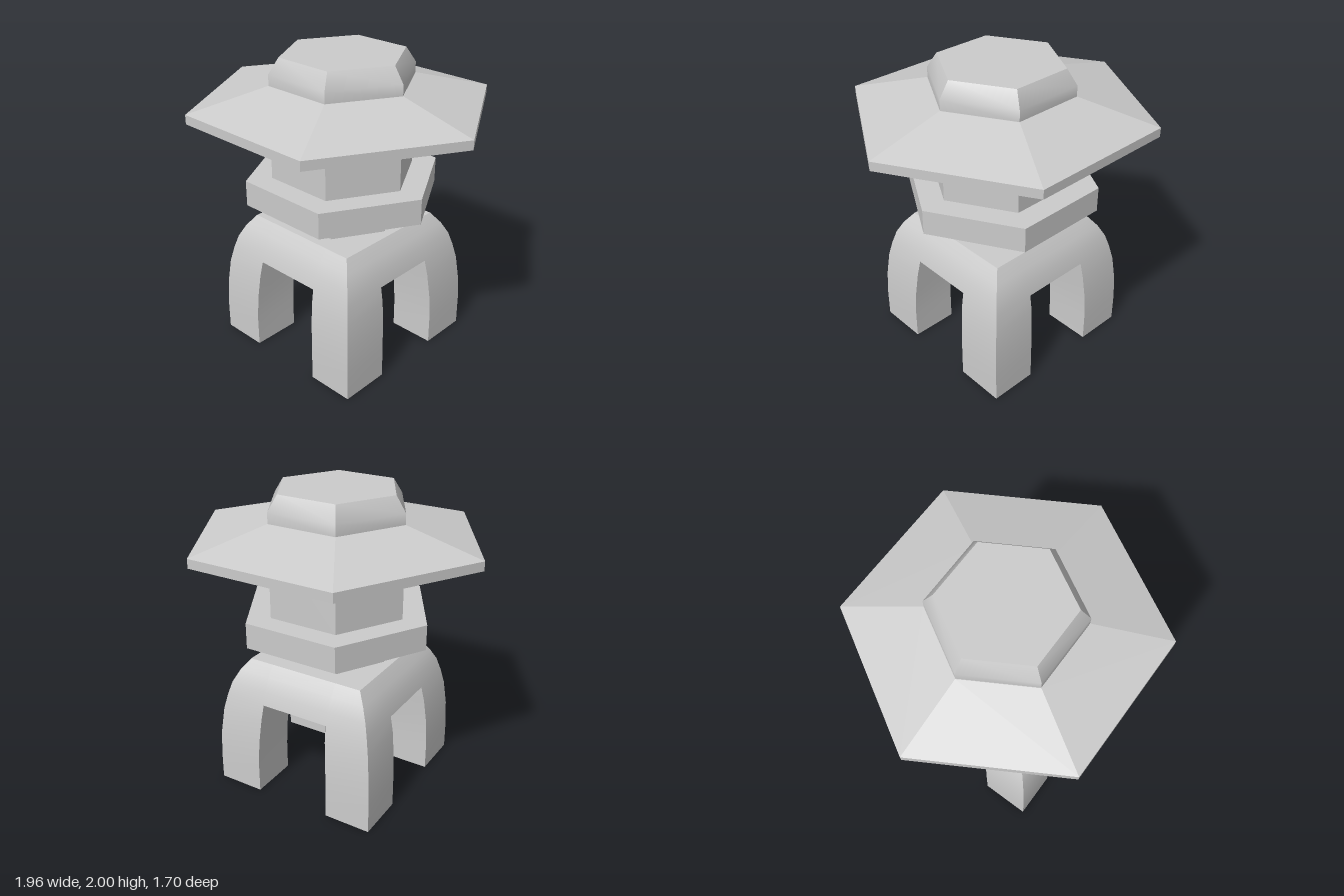
import * as THREE from 'three';
import { mergeGeometries, toCreasedNormals } from 'three/addons/utils/BufferGeometryUtils.js';

const material = new THREE.MeshStandardMaterial({ color: 0xcccccc });

function addMesh(group, name, geometry, crease) {
  const mesh = new THREE.Mesh(toCreasedNormals(geometry, crease), material);
  mesh.name = name;
  group.add(mesh);
}

// Six-sided turned part with corners on the x axis; profile runs bottom to top
function hexagon(profile) {
  const points = profile.map(([r, y]) => new THREE.Vector2(r, y));
  const geometry = new THREE.LatheGeometry(points, 6, Math.PI / 6);
  geometry.deleteAttribute('uv');
  return geometry;
}

const prism = (r, y0, y1) => hexagon([[0, y0], [r, y0], [r, y1], [0, y1]]);

// Skin over stacked rings of points (counterclockwise from above), with optional top cap
function loft(rings, capTop) {
  const n = rings[0].length;
  const positions = [];
  const triangle = (...corners) => corners.forEach(p => positions.push(...p));
  const center = ring => [0, 1, 2].map(k => ring.reduce((sum, p) => sum + p[k], 0) / n);
  const last = rings[rings.length - 1];
  for (let j = 0; j < n; j++) {
    const m = (j + 1) % n;
    for (let k = 0; k < rings.length - 1; k++) {
      const lower = rings[k], upper = rings[k + 1];
      triangle(lower[j], lower[m], upper[m]);
      triangle(lower[j], upper[m], upper[j]);
    }
    triangle(center(rings[0]), rings[0][m], rings[0][j]);
    if (capTop) triangle(center(last), last[j], last[m]);
  }
  const geometry = new THREE.BufferGeometry();
  geometry.setAttribute('position', new THREE.Float32BufferAttribute(positions, 3));
  return geometry;
}

// Four curved legs joined by a slab with rounded shoulders
function standGeometry() {
  // height, outer half width, inner half width
  const legProfile = [[0, 0.575, 0.262], [0.2, 0.575, 0.262], [0.37, 0.568, 0.256],
    [0.54, 0.55, 0.243], [0.645, 0.528, 0.236]];
  const slabProfile = [[0.645, 0.528], [0.735, 0.503], [0.815, 0.464], [0.89, 0.41]];
  const zInset = 0.016; // openings are slightly narrower in depth
  const parts = [];

  for (const sx of [-1, 1]) {
    for (const sz of [-1, 1]) {
      parts.push(loft(legProfile.map(([y, outer, inner]) => {
        const [x0, x1] = [sx * outer, sx * inner].sort((a, b) => a - b);
        const [z0, z1] = [sz * outer, sz * (inner - zInset)].sort((a, b) => a - b);
        return [[x0, y, z1], [x1, y, z1], [x1, y, z0], [x0, y, z0]];
      }), false));
    }
  }

  const ix = 0.236, iz = ix - zInset;
  parts.push(loft(slabProfile.map(([y, o]) => [
    [-o, y, o], [-ix, y, o], [ix, y, o],
    [o, y, o], [o, y, iz], [o, y, -iz],
    [o, y, -o], [ix, y, -o], [-ix, y, -o],
    [-o, y, -o], [-o, y, -iz], [-o, y, iz],
  ]), true));
  return mergeGeometries(parts);
}

export function createModel() {
  const lantern = new THREE.Group();
  lantern.name = 'stoneLantern';

  addMesh(lantern, 'leggedStand', standGeometry(), 0.7);
  addMesh(lantern, 'neck', prism(0.355, 0.89, 1.05), 0.5);
  addMesh(lantern, 'platform', prism(0.645, 1.05, 1.22), 0.5);
  addMesh(lantern, 'lightChamber', prism(0.475, 1.22, 1.78), 0.5);

  // Roof with a thin rim and a hollow, sloping underside
  addMesh(lantern, 'roof', hexagon([[0.4, 1.785], [0.98, 1.64], [0.98, 1.7], [0.475, 1.83], [0, 1.83]]), 0.1);

  // Cap with a bevelled top edge
  addMesh(lantern, 'cap', hexagon([[0, 1.83], [0.472, 1.83], [0.472, 1.9], [0.405, 2], [0, 2]]), 0.7);

  return lantern;
}
